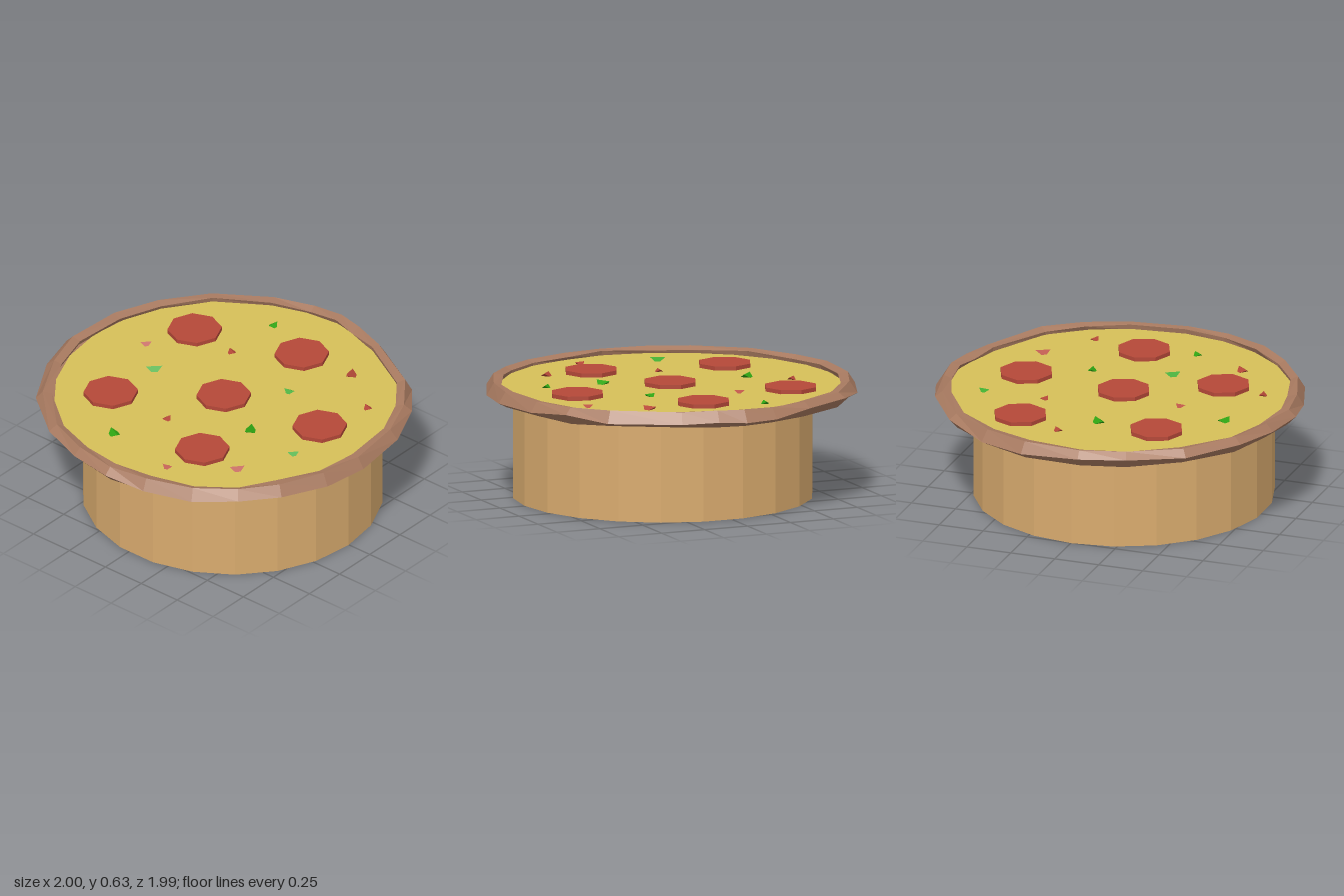
import * as THREE from 'three';

const paint = (name, color) => {
  const m = new THREE.MeshStandardMaterial({ color, flatShading: true });
  m.name = name;
  return m;
};

// small repeatable noise in -1..1
const noise = (n) => {
  const s = Math.sin(n * 127.1 + 3.7) * 43758.5453;
  return (s - Math.floor(s)) * 2 - 1;
};

// Lumpy hand-rolled rim: one cross-section at every corner of the outline
function crustGeometry() {
  const outline = [
    [-0.13, -1], [0.2, -0.98], [0.46, -0.88], [0.71, -0.7], [0.9, -0.41], [0.98, -0.18],
    [1, 0], [0.97, 0.15], [0.91, 0.34], [0.72, 0.69], [0.53, 0.85], [0.29, 0.95],
    [-0.04, 0.99], [-0.29, 0.95], [-0.54, 0.84], [-0.72, 0.69], [-0.87, 0.49], [-0.96, 0.23],
    [-1, 0], [-0.96, -0.25], [-0.87, -0.5], [-0.66, -0.77], [-0.38, -0.93],
  ];
  // [inset from the outline, height, wobble]
  const profile = [
    [0.075, 0.585, 0], [0.085, 0.612, 0.008], [0.04, 0.622, 0.004],
    [0, 0.575, 0.02], [0.05, 0.535, 0.006], [0.25, 0.535, 0],
  ];
  const n = outline.length, m = profile.length;
  const pos = [], index = [];
  outline.forEach(([x, z], i) => {
    const r = Math.hypot(x, z);
    profile.forEach(([inset, y, w], j) => {
      const k = (r - inset + (j === 3 ? 0 : w * noise(i * 7 + j))) / r;
      pos.push(x * k, y + w * noise(i * 13 + j + 50), z * k);
    });
  });
  for (let i = 0; i < n; i++) {
    for (let j = 0; j < m; j++) {
      const i2 = (i + 1) % n, j2 = (j + 1) % m;
      const a = i * m + j, b = i2 * m + j, c = i * m + j2, d = i2 * m + j2;
      index.push(a, b, c, b, d, c);
    }
  }
  const g = new THREE.BufferGeometry();
  g.setAttribute('position', new THREE.Float32BufferAttribute(pos, 3));
  g.setIndex(index);
  const flat = g.toNonIndexed();
  flat.computeVertexNormals();
  return flat;
}

export function createModel() {
  const model = new THREE.Group();
  model.name = 'pizzaTable';
  const wood = paint('wood', 0xd9ab6e);
  const crustBrown = paint('crustBrown', 0xa87a60);
  const cheeseYellow = paint('cheeseYellow', 0xd6c058);
  const red = paint('sausageRed', 0xb54838);
  const green = paint('pepperGreen', 0x2fa512);

  const add = (name, geometry, material, x, y, z) => {
    const mesh = new THREE.Mesh(geometry, material);
    mesh.name = name;
    mesh.position.set(x, y, z);
    model.add(mesh);
    return mesh;
  };

  // Round base, set slightly towards the front
  const base = new THREE.CylinderGeometry(0.805, 0.805, 0.56, 22);
  base.rotateY(Math.PI / 22 * 11);
  base.rotateY(Math.PI / 2);
  add('base', base, wood, -0.005, 0.28, 0.05);

  add('crust', crustGeometry(), crustBrown, 0, 0, 0);
  add('cheese', new THREE.CylinderGeometry(0.92, 0.92, 0.04, 24), cheeseYellow, 0, 0.57, 0);

  // Sausage slices
  const slice = new THREE.CylinderGeometry(0.146, 0.146, 0.03, 8);
  [[-0.385, -0.48], [0.37, -0.53], [-0.02, 0], [0.555, 0.06], [-0.495, 0.25], [0.08, 0.585]]
    .forEach(([x, z]) => add('sausageSlice', slice, red, x, 0.597, z));

  // Chopped bits: [x, z, size]
  const scatter = (name, material, list) => list.forEach(([x, z, s], i) => {
    const bit = add(name, new THREE.TetrahedronGeometry(s), material, x, 0.594, z);
    bit.scale.y = 0.5;
    bit.rotation.y = i * 1.9;
  });
  scatter('redBit', red, [
    [0.11, -0.65, 0.038], [0.34, -0.245, 0.036], [-0.38, -0.095, 0.036], [-0.735, 0.21, 0.036],
    [0.58, 0.385, 0.05], [-0.51, 0.505, 0.05], [0.39, 0.66, 0.036],
  ]);
  scatter('greenBit', green, [
    [-0.05, -0.46, 0.055], [-0.67, -0.215, 0.052], [0.68, -0.245, 0.038],
    [0.245, 0.235, 0.038], [-0.18, 0.32, 0.052], [-0.205, 0.64, 0.038],
  ]);
  return model;
}
